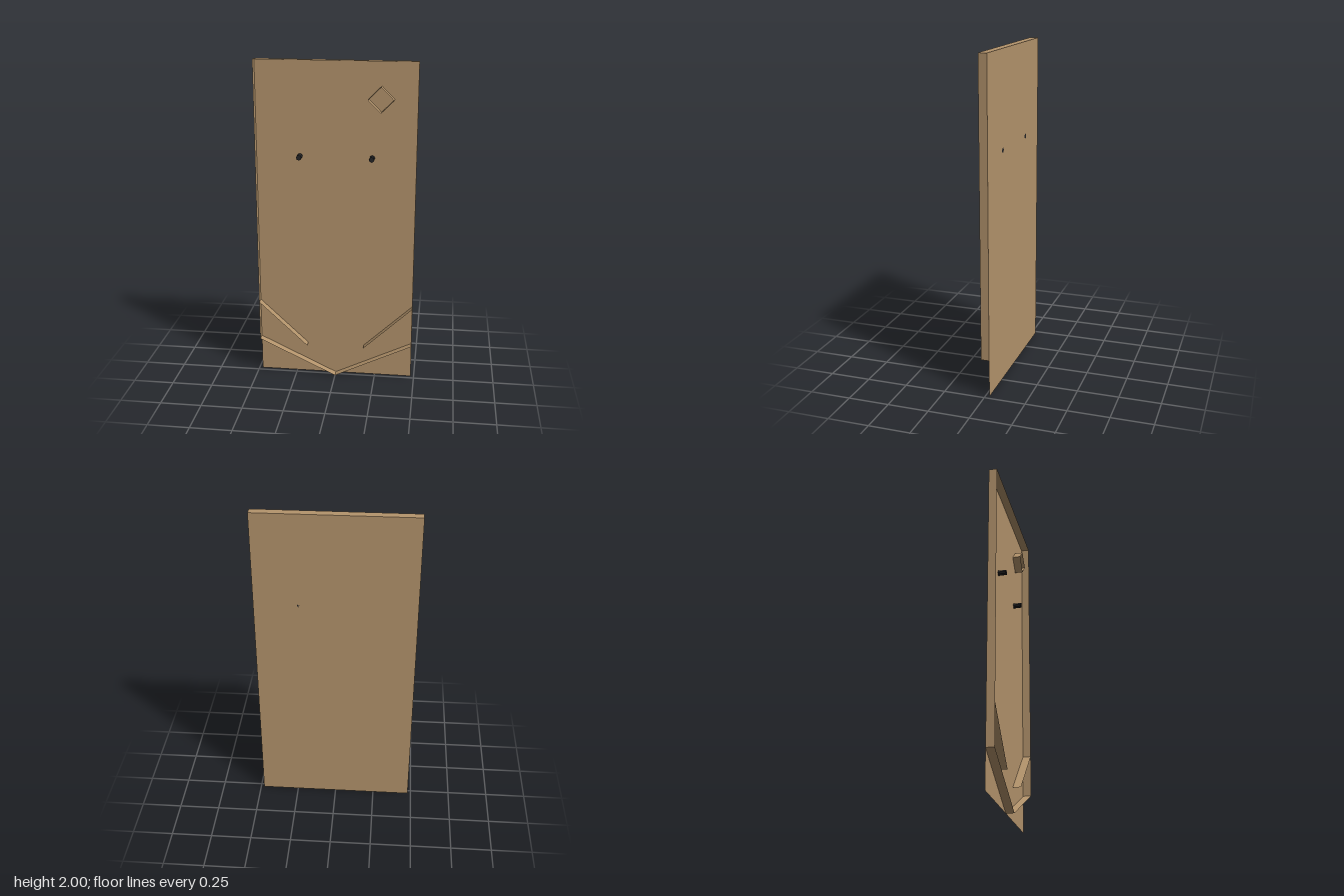
import * as THREE from 'three';

const W = 0.48;       // half width
const H = 2;          // height
const D = 0.05;       // tray depth

export function createModel() {
  const model = new THREE.Group();
  const wood = new THREE.MeshStandardMaterial({ color: 0xb4946c, side: THREE.DoubleSide, flatShading: true });
  wood.name = 'tan board';
  const dark = new THREE.MeshStandardMaterial({ color: 0x242426, flatShading: true });
  dark.name = 'dark peg';

  const add = (name, geometry, material, x, y, z, parent = model) => {
    const mesh = new THREE.Mesh(geometry, material);
    mesh.name = name;
    mesh.position.set(x, y, z);
    parent.add(mesh);
    return mesh;
  };

  // Thin sheet standing out from the board, running from (x1, y1) to (x2, y2)
  const strip = (name, x1, y1, x2, y2, parent = model) => {
    const geometry = new THREE.PlaneGeometry(Math.hypot(x2 - x1, y2 - y1), D);
    geometry.rotateX(-Math.PI / 2);
    const mesh = add(name, geometry, wood, (x1 + x2) / 2, (y1 + y2) / 2, 0, parent);
    mesh.rotation.z = Math.atan2(y2 - y1, x2 - x1);
  };

  // Back board and top rim
  add('backBoard', new THREE.PlaneGeometry(2 * W, H), wood, 0, H / 2, -D / 2);
  strip('topRim', -W, H, W, H);

  // Mirrored rims, funnel floor, deflectors and pegs
  for (const [side, s] of [['left', 1], ['right', -1]]) {
    strip(`${side}Rim`, s * W, H, s * W, 0.23);
    strip(`${side}FunnelFloor`, s * W, 0.23, 0, 0);
    strip(`${side}Deflector`, s * W, 0.483, s * 0.178, 0.2);
    const peg = new THREE.CylinderGeometry(0.016, 0.016, D, 8);
    peg.rotateX(Math.PI / 2);
    add(`${side}Peg`, peg, dark, s * 0.217, 1.425, 0);
  }

  // Open diamond-shaped bumper near the upper left corner
  const bumper = new THREE.Group();
  bumper.name = 'diamondBumper';
  bumper.position.set(0.267, 1.777, 0);
  const r = 0.076;
  const corners = [[r, 0], [0, r], [-r, 0], [0, -r]];
  corners.forEach((a, i) => strip(`bumperSide${i + 1}`, ...a, ...corners[(i + 1) % 4], bumper));
  model.add(bumper);

  return model;
}
